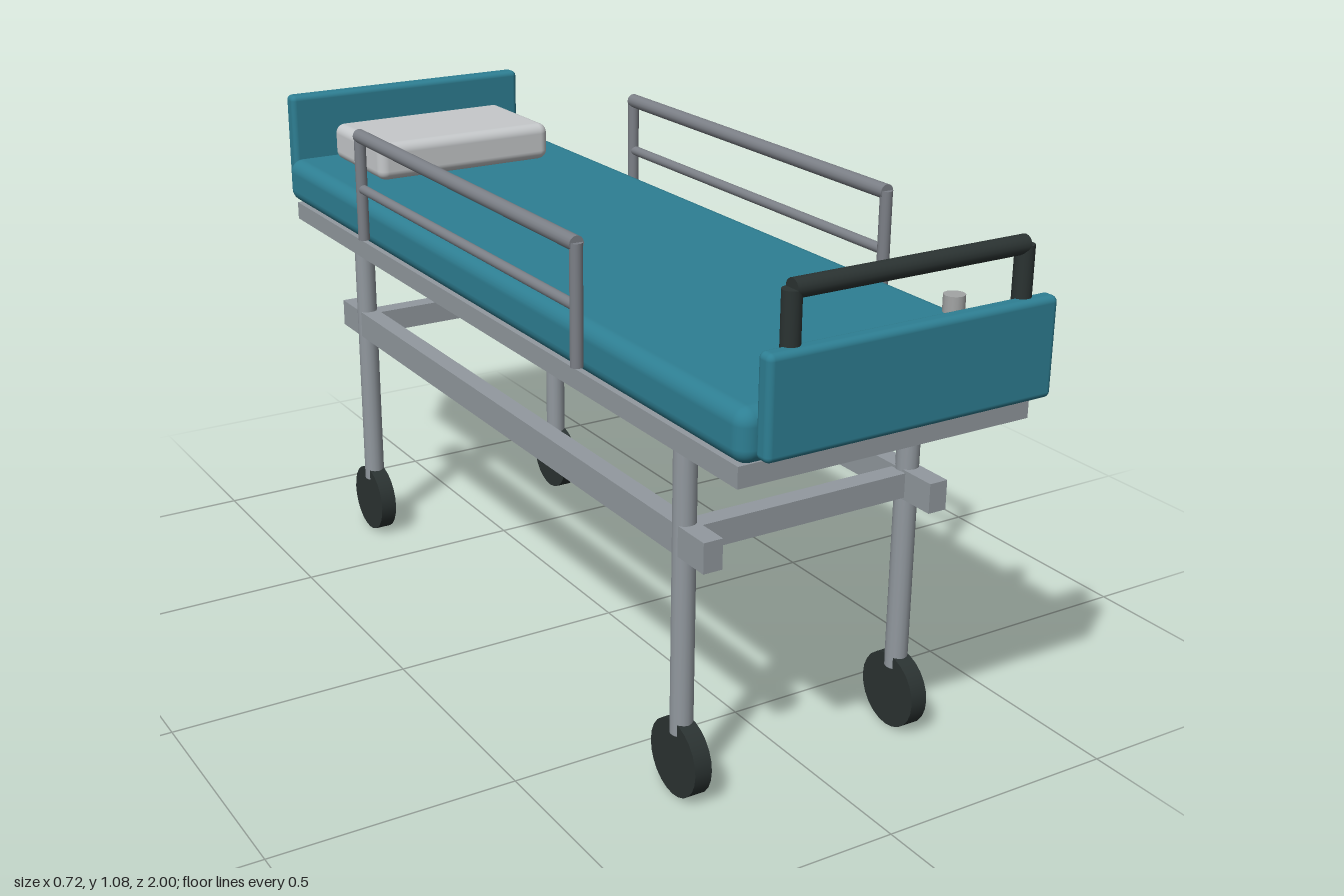
import * as THREE from 'three';
import { RoundedBoxGeometry } from 'three/addons/geometries/RoundedBoxGeometry.js';

const mat = (name, color) => {
  const m = new THREE.MeshStandardMaterial({ color });
  m.name = name;
  return m;
};

export function createModel() {
  const bed = new THREE.Group();
  bed.name = 'hospitalBed';

  const teal = mat('tealVinyl', 0x2e7f93);
  const steel = mat('paintedSteel', 0x92999f);
  const rail = mat('railMetal', 0x7c8087);
  const black = mat('blackRubber', 0x2b3332);
  const linen = mat('pillowLinen', 0xc6c9cb);
  const knob = mat('socketMetal', 0xa3a5a5);

  const add = (name, geometry, material, x, y, z, parent = bed) => {
    const mesh = new THREE.Mesh(geometry, material);
    mesh.name = name;
    mesh.position.set(x, y, z);
    parent.add(mesh);
    return mesh;
  };
  const box = (name, w, h, d, material, x, y, z) =>
    add(name, new THREE.BoxGeometry(w, h, d), material, x, y, z);
  const rounded = (name, w, h, d, r, material, x, y, z) =>
    add(name, new RoundedBoxGeometry(w, h, d, 4, r), material, x, y, z);
  // Upright round post between two heights
  const post = (name, r, y0, y1, material, x, z, parent = bed, sides = 16) =>
    add(name, new THREE.CylinderGeometry(r, r, y1 - y0, sides), material, x, (y0 + y1) / 2, z, parent);

  // Deck, mattress and pillow
  box('deck', 0.62, 0.04, 1.87, steel, 0, 0.742, 0);
  rounded('mattress', 0.64, 0.1, 1.92, 0.03, teal, 0, 0.814, -0.003);
  rounded('pillow', 0.436, 0.085, 0.266, 0.022, linen, -0.005, 0.908, -0.77);

  // End boards
  rounded('headboard', 0.6, 0.226, 0.04, 0.012, teal, 0, 0.897, -0.98);
  rounded('footboard', 0.6, 0.186, 0.036, 0.012, teal, 0, 0.877, 0.982);

  // Push handle at the foot end
  const handle = new THREE.Group();
  handle.name = 'pushHandle';
  bed.add(handle);
  for (const s of [-1, 1]) post('handlePost', 0.0175, 0.9, 1.063, black, s * 0.24, 0.97, handle);
  const grip = post('handleGrip', 0.0175, 0, 0.48, black, 0, 0.97, handle);
  grip.position.y = 1.063;
  grip.rotation.z = Math.PI / 2;

  // Accessory socket on the mattress edge
  post('accessorySocket', 0.021, 0.772, 0.898, knob, 0.3, 0.732);

  // Legs, wheels and long beams
  for (const sx of [-1, 1]) {
    for (const sz of [-1, 1]) {
      post('leg', 0.0225, 0.128, 0.725, steel, sx * 0.25, sz * 0.687);
      const wheel = post('wheel', 0.077, 0, 0.036, black, sx * 0.25, sz * 0.687, bed, 24);
      wheel.position.y = 0.077;
      wheel.rotation.z = Math.PI / 2;
    }
    box('longBeam', 0.04, 0.06, 1.56, steel, sx * 0.25, 0.523, 0);
  }
  // Cross beams
  for (const sz of [-1, 1]) box('crossBeam', 0.48, 0.05, 0.04, steel, 0, 0.523, sz * 0.687);

  // Side rails
  for (const sx of [-1, 1]) {
    const side = new THREE.Group();
    side.name = sx > 0 ? 'leftSideRail' : 'rightSideRail';
    side.position.x = sx * 0.343;
    bed.add(side);
    for (const sz of [-1, 1]) post('railPost', 0.0125, 0.793, 1.025, rail, 0, sz * 0.468, side);
    for (const [name, r, y, len] of [['topRail', 0.015, 1.023, 0.94], ['middleRail', 0.0105, 0.907, 0.936]]) {
      const bar = post(name, r, 0, len, rail, 0, 0, side);
      bar.position.y = y;
      bar.rotation.x = Math.PI / 2;
    }
  }
  return bed;
}
